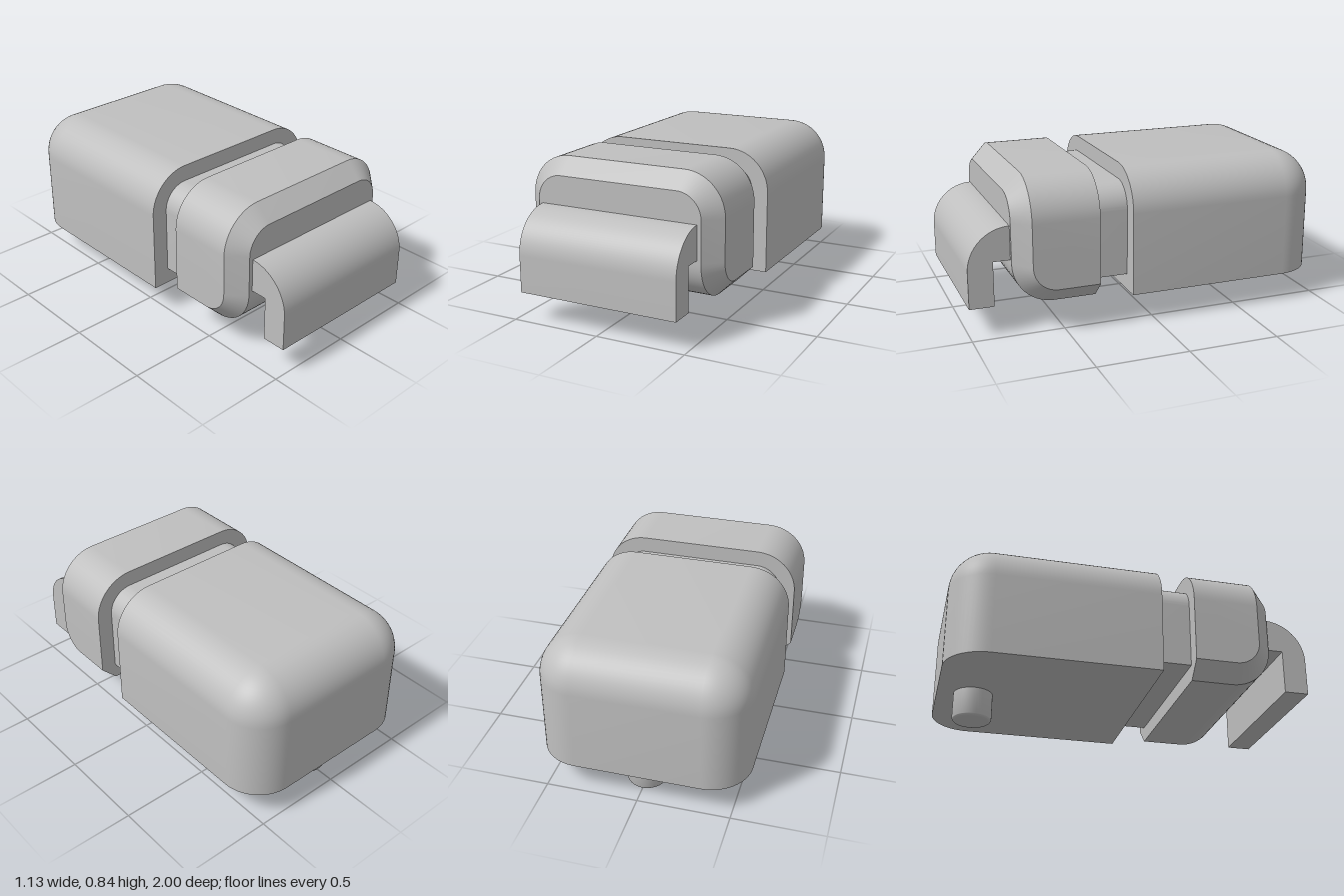
import * as THREE from 'three';
import { toCreasedNormals } from 'three/addons/utils/BufferGeometryUtils.js';

const HALF = 0.567, BOTTOM = 0.16, TOP = 0.84; // housing section
const R = 0.227, CHAMFER = 0.09;
const BACK = -1, BODY_FRONT = 0.135, BLOCK_BACK = 0.318, BLOCK_FRONT = 0.773;
const STEPS = 14;

const arc = (fn) => Array.from({ length: STEPS + 1 }, (_, i) => fn((i / STEPS) * Math.PI / 2));
const smooth = (geometry) => toCreasedNormals(geometry, 0.6);

// Closed skin from cross-sections that are symmetric in x.
// Each half section lists its +x points; the mirrored half is added here.
function shell(halves) {
  const rings = halves.map((h) => [...h, ...h.map(([x, y, z]) => [-x, y, z]).reverse()]);
  const n = rings[0].length, pos = [];
  const quad = (a, b, c, d) => pos.push(...a, ...b, ...c, ...a, ...c, ...d);
  for (let j = 0; j + 1 < rings.length; j++) {
    const r = rings[j], s = rings[j + 1];
    for (let i = 0; i + 1 < n; i++) quad(r[i], r[i + 1], s[i + 1], s[i]);
    quad(r[0], s[0], s[n - 1], r[n - 1]); // open side of the sections
  }
  const first = rings[0], last = rings[rings.length - 1];
  for (let i = 0; i + 1 < n / 2; i++) { // end caps
    quad(last[i], last[i + 1], last[n - 2 - i], last[n - 1 - i]);
    quad(first[n - 1 - i], first[n - 2 - i], first[i + 1], first[i]);
  }
  const g = new THREE.BufferGeometry();
  g.setAttribute('position', new THREE.Float32BufferAttribute(pos, 3));
  return smooth(g);
}

// Rear housing: plan outlines stacked upwards, shrinking over the rounded top
function bodyGeometry() {
  const plan = (y, inset) => [
    [HALF - inset, y, BODY_FRONT],
    ...arc((a) => [
      HALF - R + (R - inset) * Math.cos(a), y, BACK + R - (R - inset) * Math.sin(a),
    ]),
  ];
  return shell([
    plan(BOTTOM, 0),
    ...arc((a) => plan(TOP - R + R * Math.sin(a), R * (1 - Math.cos(a)))),
  ]);
}

// Front block: chamfered face that curls under to become the bottom
function blockGeometry() {
  const outline = (depth) => {
    const inset = CHAMFER - depth, r = R - depth, c = R - inset;
    return [
      [HALF - inset, BOTTOM + depth, BLOCK_BACK],
      ...arc((a) => [
        HALF - inset, BOTTOM + R - r * Math.cos(a), BLOCK_FRONT - R + r * Math.sin(a),
      ]),
      ...arc((a) => [
        HALF - R + c * Math.cos(a), TOP - R + c * Math.sin(a), BLOCK_FRONT - depth,
      ]),
    ];
  };
  const rim = outline(CHAMFER);
  return shell([rim.map(([x, y]) => [x, y, BLOCK_BACK]), rim, outline(0)]);
}

// Neck: smaller arch joining body and block
function neckGeometry() {
  const w = HALF - CHAMFER, top = TOP - CHAMFER, r = R - CHAMFER;
  const s = new THREE.Shape();
  s.moveTo(-w, BOTTOM + CHAMFER);
  s.lineTo(w, BOTTOM + CHAMFER);
  s.absarc(w - r, top - r, r, 0, Math.PI / 2, false);
  s.absarc(r - w, top - r, r, Math.PI / 2, Math.PI, false);
  const g = new THREE.ExtrudeGeometry(s, {
    depth: BLOCK_BACK - BODY_FRONT, bevelEnabled: false, curveSegments: STEPS,
  });
  return smooth(g.translate(0, 0, BODY_FRONT));
}

// Hook: side profile (z, y) extruded across the width
function hookGeometry() {
  const half = 0.455, r = 1 - BLOCK_FRONT;
  const s = new THREE.Shape();
  s.moveTo(0.865, BOTTOM);
  s.lineTo(1, BOTTOM);
  s.absarc(BLOCK_FRONT, 0.59 - r, r, 0, Math.PI / 2, false);
  s.lineTo(BLOCK_FRONT, 0.405);
  s.lineTo(0.865, 0.405);
  s.closePath();
  const g = new THREE.ExtrudeGeometry(s, {
    depth: half * 2, bevelEnabled: false, curveSegments: STEPS,
  });
  return smooth(g.rotateY(-Math.PI / 2).translate(half, 0, 0));
}

// Pin: short peg with a rounded lower edge
function pinGeometry() {
  const r = 0.108, f = 0.02;
  const profile = [
    new THREE.Vector2(0, 0),
    ...arc((a) => new THREE.Vector2(r - f + f * Math.sin(a), f - f * Math.cos(a))),
    new THREE.Vector2(r, BOTTOM),
  ];
  return smooth(new THREE.LatheGeometry(profile, 48).translate(0, 0, -0.8));
}

export function createModel() {
  const grey = new THREE.MeshStandardMaterial({ color: 0xbfbfbf });
  grey.name = 'light grey';
  const model = new THREE.Group();
  model.name = 'latchHousing';
  const parts = {
    body: bodyGeometry(),
    neck: neckGeometry(),
    frontBlock: blockGeometry(),
    hook: hookGeometry(),
    pin: pinGeometry(),
  };
  for (const [name, geometry] of Object.entries(parts)) {
    const mesh = new THREE.Mesh(geometry, grey);
    mesh.name = name;
    model.add(mesh);
  }
  return model;
}
